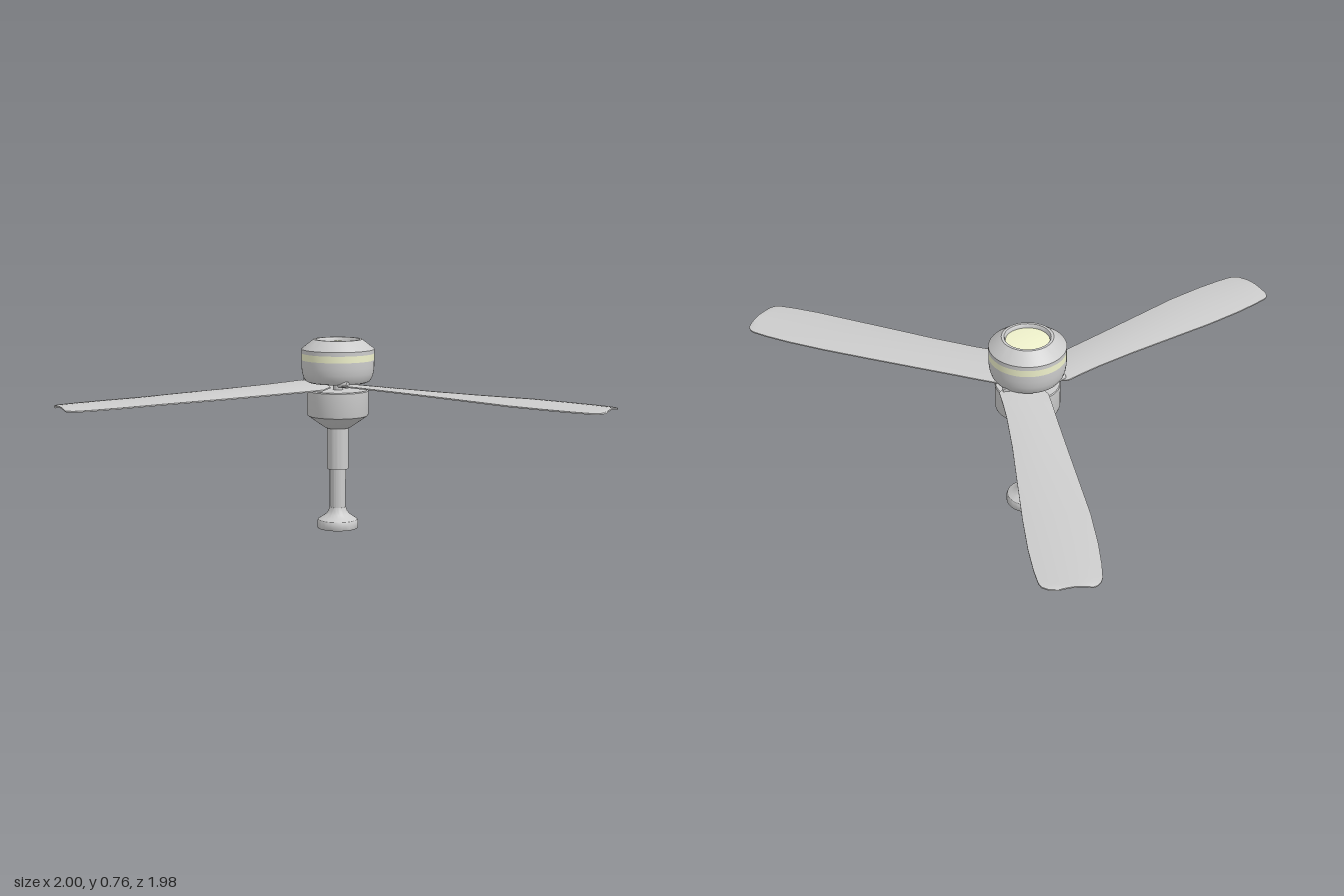
import * as THREE from 'three';
import { toCreasedNormals } from 'three/addons/utils/BufferGeometryUtils.js';

const grey = new THREE.MeshStandardMaterial({ color: 0xcccccc });
const cream = new THREE.MeshStandardMaterial({ color: 0xf0f2cc });

// Turned part from [radius, height] pairs, bottom to top
function turned(name, profile, material = grey) {
  const points = profile.map(([r, y]) => new THREE.Vector2(r, y));
  const mesh = new THREE.Mesh(toCreasedNormals(new THREE.LatheGeometry(points, 64), 0.5), material);
  mesh.name = name;
  return mesh;
}

// Blade stations: distance from axis, trailing edge, leading edge
const stations = [
  [0.05, -0.03, 0.08], [0.1, -0.064, 0.117], [0.17, -0.069, 0.111], [0.25, -0.073, 0.107],
  [0.42, -0.084, 0.107], [0.6, -0.096, 0.113], [0.8, -0.109, 0.119], [0.95, -0.11, 0.12],
  [1.05, -0.105, 0.115], [1.11, -0.098, 0.108], [1.13, -0.09, 0.1], [1.145, -0.075, 0.078],
  [1.15, -0.06, 0.05],
];

// Thin cambered blade that twists near the root and droops slightly to the tip
function bladeGeometry() {
  const across = 9, loop = across * 2, positions = [], index = [];
  stations.forEach(([u, v0, v1]) => {
    for (let k = 0; k < loop; k++) {
      const top = k < across;
      const t = (top ? k : loop - 1 - k) / (across - 1);
      const v = v0 + (v1 - v0) * t;
      const camber = 0.008 * (1 - (2 * t - 1) ** 2);
      const twist = 0.13 * v * Math.max(0, 1 - u / 0.8);
      const y = 0.577 - 0.017 * u + camber + twist;
      positions.push(u, top ? y : y - 0.005, v);
    }
  });
  for (let i = 0; i < stations.length - 1; i++) {
    for (let k = 0; k < loop; k++) {
      const a = i * loop + k, b = i * loop + (k + 1) % loop;
      index.push(a, b, a + loop, b, b + loop, a + loop);
    }
  }
  // End strips at root and tip
  const last = (stations.length - 1) * loop;
  for (let k = 0; k < across - 1; k++) {
    const p = k, q = k + 1, r = loop - 2 - k, s = loop - 1 - k;
    index.push(p, s, q, q, s, r);
    index.push(last + p, last + q, last + s, last + q, last + r, last + s);
  }
  const geometry = new THREE.BufferGeometry();
  geometry.setAttribute('position', new THREE.Float32BufferAttribute(positions, 3));
  geometry.setIndex(index);
  return toCreasedNormals(geometry, 0.6);
}

export function createModel() {
  const model = new THREE.Group();
  model.name = 'fan';
  const fan = new THREE.Group();
  fan.name = 'fanAssembly';
  fan.position.set(-0.12, 0, -0.143);
  model.add(fan);

  // Mounting foot and stem
  fan.add(turned('mountingFoot', [
    [0, 0], [0.08, 0], [0.082, 0.004], [0.082, 0.026], [0.078, 0.035], [0.062, 0.045],
    [0.046, 0.057], [0.037, 0.07], [0.033, 0.085], [0, 0.085],
  ]));
  fan.add(turned('stem', [[0.032, 0.07], [0.032, 0.25]]));
  fan.add(turned('stemSleeve', [[0.03, 0.24], [0.043, 0.24], [0.043, 0.41]]));

  // Lower housing, hub shaft and upper housing, with a gap for the blades
  fan.add(turned('lowerHousing', [
    [0, 0.405], [0.048, 0.405], [0.054, 0.408], [0.12, 0.455], [0.122, 0.462],
    [0.122, 0.553], [0.119, 0.557], [0, 0.557],
  ]));
  fan.add(turned('hubShaft', [[0.02, 0.55], [0.02, 0.595]]));
  fan.add(turned('upperHousing', [
    [0, 0.587], [0.115, 0.587], [0.126, 0.592], [0.135, 0.605], [0.141, 0.625],
    [0.144, 0.65], [0.144, 0.676],
  ]));
  fan.add(turned('lightBand', [[0.144, 0.676], [0.144, 0.702]], cream));
  fan.add(turned('topCover', [
    [0.144, 0.702], [0.144, 0.718], [0.141, 0.722], [0.102, 0.752], [0.096, 0.757],
    [0.086, 0.757], [0.083, 0.753], [0.081, 0.742],
  ]));
  fan.add(turned('lightLens', [[0.082, 0.742], [0.05, 0.745], [0, 0.746]], cream));

  // Three blades, each with a small fixing pin at its root
  const blade = bladeGeometry();
  const pin = new THREE.CylinderGeometry(0.013, 0.013, 0.04, 16).rotateZ(Math.PI / 2);
  for (let i = 0; i < 3; i++) {
    const arm = new THREE.Group();
    arm.name = 'bladeArm' + (i + 1);
    arm.rotation.y = THREE.MathUtils.degToRad(16.8 + 120 * i);
    const bladeMesh = new THREE.Mesh(blade, grey);
    bladeMesh.name = 'blade';
    const pinMesh = new THREE.Mesh(pin, grey);
    pinMesh.name = 'bladePin';
    pinMesh.position.set(0.08, 0.59, 0.09);
    arm.add(bladeMesh, pinMesh);
    fan.add(arm);
  }
  return model;
}
